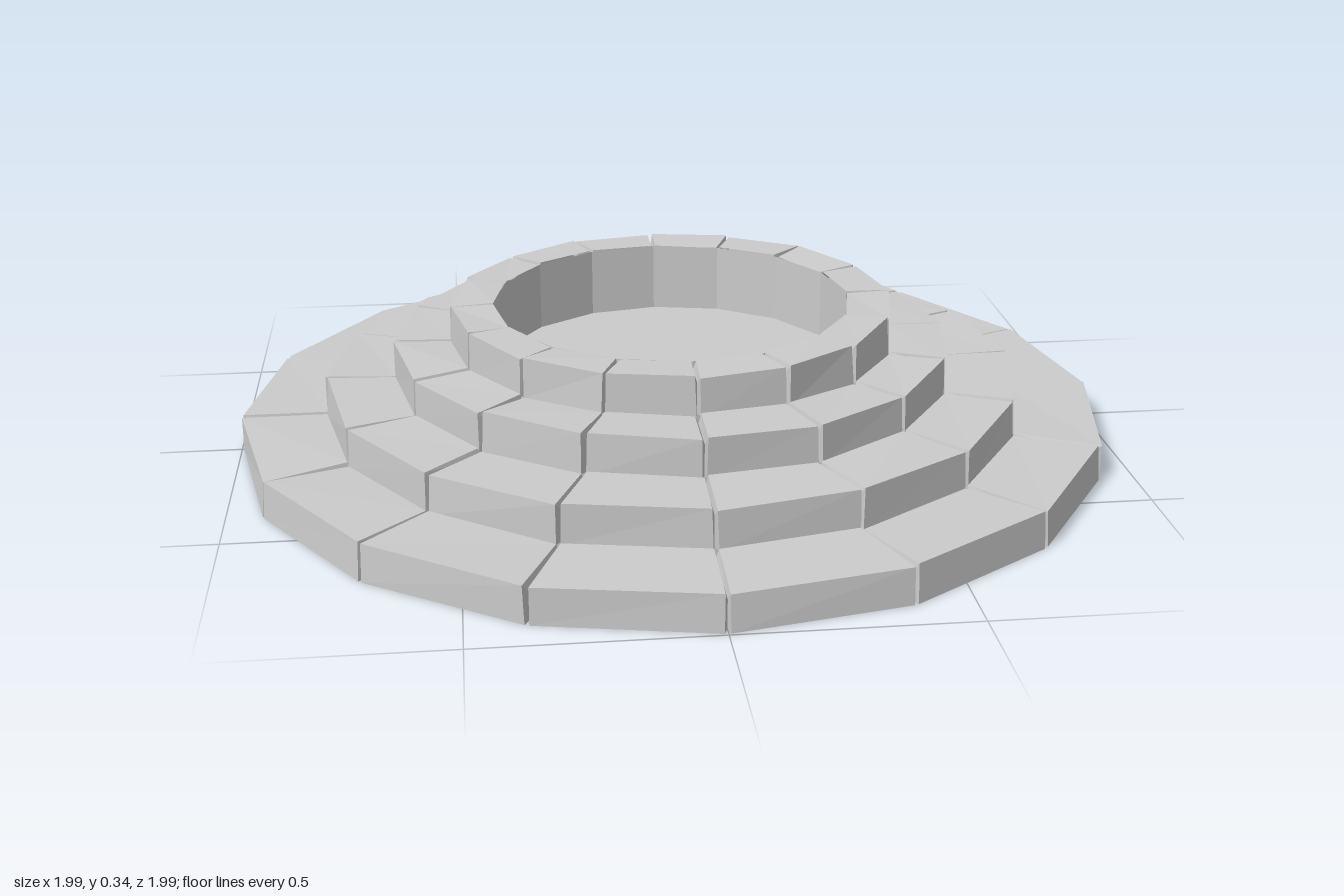
import * as THREE from 'three';

const SIDES = 16;
const STEP = (Math.PI * 2) / SIDES;
const RADII = [0.995, 0.8, 0.64, 0.51, 0.41]; // outer edge of each tier, then the well
const TOPS = [0, 0.083, 0.167, 0.25, 0.333];
const FLOOR_Y = 0.17;

const material = new THREE.MeshStandardMaterial({
  color: 0xcccccc, flatShading: true, side: THREE.DoubleSide,
});

let seed = 11;
function jitter(amount) {
  seed = (seed * 16807) % 2147483647;
  return (seed / 2147483647 * 2 - 1) * amount;
}

// One stone: outer wall and top, with a narrow groove falling away at each side
function stoneGeometry(tier, index) {
  const outer = RADII[tier], inner = RADII[tier + 1];
  const bottom = tier === 0 ? 0 : TOPS[tier] - 0.006;
  const top = TOPS[tier + 1];
  const depth = 0.02;
  const a0 = index * STEP, a1 = a0 + STEP;
  const point = (r, a, y) => [r * Math.sin(a), y, r * Math.cos(a)];

  // groove line at a joint between neighbouring stones
  const joint = (a) => [
    point(outer - depth, a, bottom),
    point(outer - depth, a, top - depth),
    point(inner, a, top - depth),
  ];
  // slightly uneven edge of the stone itself
  const edge = (a, sign) => {
    const gap = () => sign * (0.005 + jitter(0.0025));
    const lean = jitter(0.004);
    return [
      point(outer, a + gap() / outer, bottom),
      point(outer - 0.003 + lean, a + gap() / outer, top + jitter(0.004)),
      point(inner, a + gap() / inner, top + jitter(0.004)),
    ];
  };

  const columns = [joint(a0), edge(a0, 1), edge(a1, -1), joint(a1)];
  const positions = [];
  for (let c = 0; c < 3; c++) {
    for (let r = 0; r < 2; r++) {
      const bl = columns[c][r], br = columns[c + 1][r];
      const tr = columns[c + 1][r + 1], tl = columns[c][r + 1];
      positions.push(...bl, ...br, ...tr, ...bl, ...tr, ...tl);
    }
  }
  const geometry = new THREE.BufferGeometry();
  geometry.setAttribute('position', new THREE.Float32BufferAttribute(positions, 3));
  geometry.computeVertexNormals();
  return geometry;
}

export function createModel() {
  const model = new THREE.Group();
  model.name = 'steppedStoneWell';

  // Four stepped rings of stones
  for (let tier = 0; tier < 4; tier++) {
    const ring = new THREE.Group();
    ring.name = `stoneRing${tier + 1}`;
    for (let i = 0; i < SIDES; i++) {
      const stone = new THREE.Mesh(stoneGeometry(tier, i), material);
      stone.name = `stone${i + 1}`;
      ring.add(stone);
    }
    model.add(ring);
  }

  // Wall of the well
  const height = TOPS[4] - 0.002 - FLOOR_Y;
  const wall = new THREE.Mesh(
    new THREE.CylinderGeometry(RADII[4], RADII[4], height, SIDES, 1, true), material);
  wall.position.y = FLOOR_Y + height / 2;
  wall.name = 'wellWall';
  model.add(wall);

  // Flat floor inside the well
  const floor = new THREE.Mesh(new THREE.CircleGeometry(RADII[4], SIDES), material);
  floor.rotation.x = -Math.PI / 2;
  floor.position.y = FLOOR_Y;
  floor.name = 'wellFloor';
  model.add(floor);

  return model;
}
